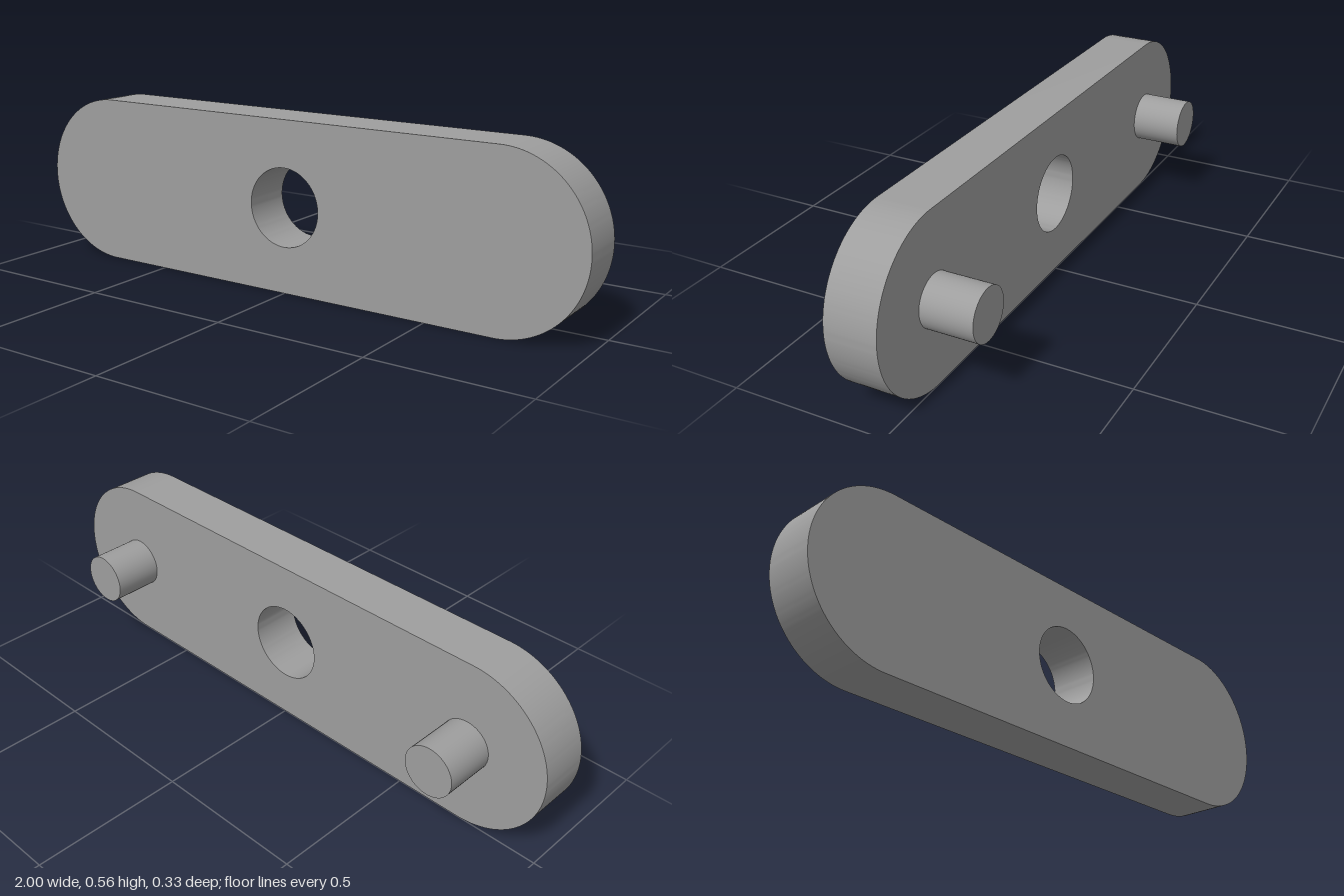
import * as THREE from 'three';
import { toCreasedNormals } from 'three/addons/utils/BufferGeometryUtils.js';

const R = 0.278;          // end radius of the plate
const END = 1 - R;        // x of the end centres
const DEPTH = 0.167;      // plate thickness and pin length

export function createModel() {
  const group = new THREE.Group();
  const grey = new THREE.MeshStandardMaterial({ color: 0x9e9e9e });
  grey.name = 'grey';

  // Round-ended plate with a central through hole
  const outline = new THREE.Shape();
  outline.moveTo(-END, -R);
  outline.lineTo(END, -R);
  outline.absarc(END, 0, R, -Math.PI / 2, Math.PI / 2, false);
  outline.lineTo(-END, R);
  outline.absarc(-END, 0, R, Math.PI / 2, Math.PI * 1.5, false);
  const hole = new THREE.Path();
  hole.absarc(0, 0, 0.127, 0, Math.PI * 2, true);
  outline.holes.push(hole);
  const plateGeometry = new THREE.ExtrudeGeometry(outline, {
    depth: DEPTH, bevelEnabled: false, curveSegments: 48,
  });
  const plate = new THREE.Mesh(toCreasedNormals(plateGeometry, Math.PI / 6), grey);
  plate.name = 'plate';
  plate.position.y = R;
  group.add(plate);

  // Two pins on the back, centred on the rounded ends
  const pinGeometry = new THREE.CylinderGeometry(0.083, 0.083, DEPTH, 48);
  pinGeometry.rotateX(Math.PI / 2);
  for (const side of [-1, 1]) {
    const pin = new THREE.Mesh(pinGeometry, grey);
    pin.name = side > 0 ? 'leftPin' : 'rightPin';
    pin.position.set(side * END, R, -DEPTH / 2);
    group.add(pin);
  }
  return group;
}
